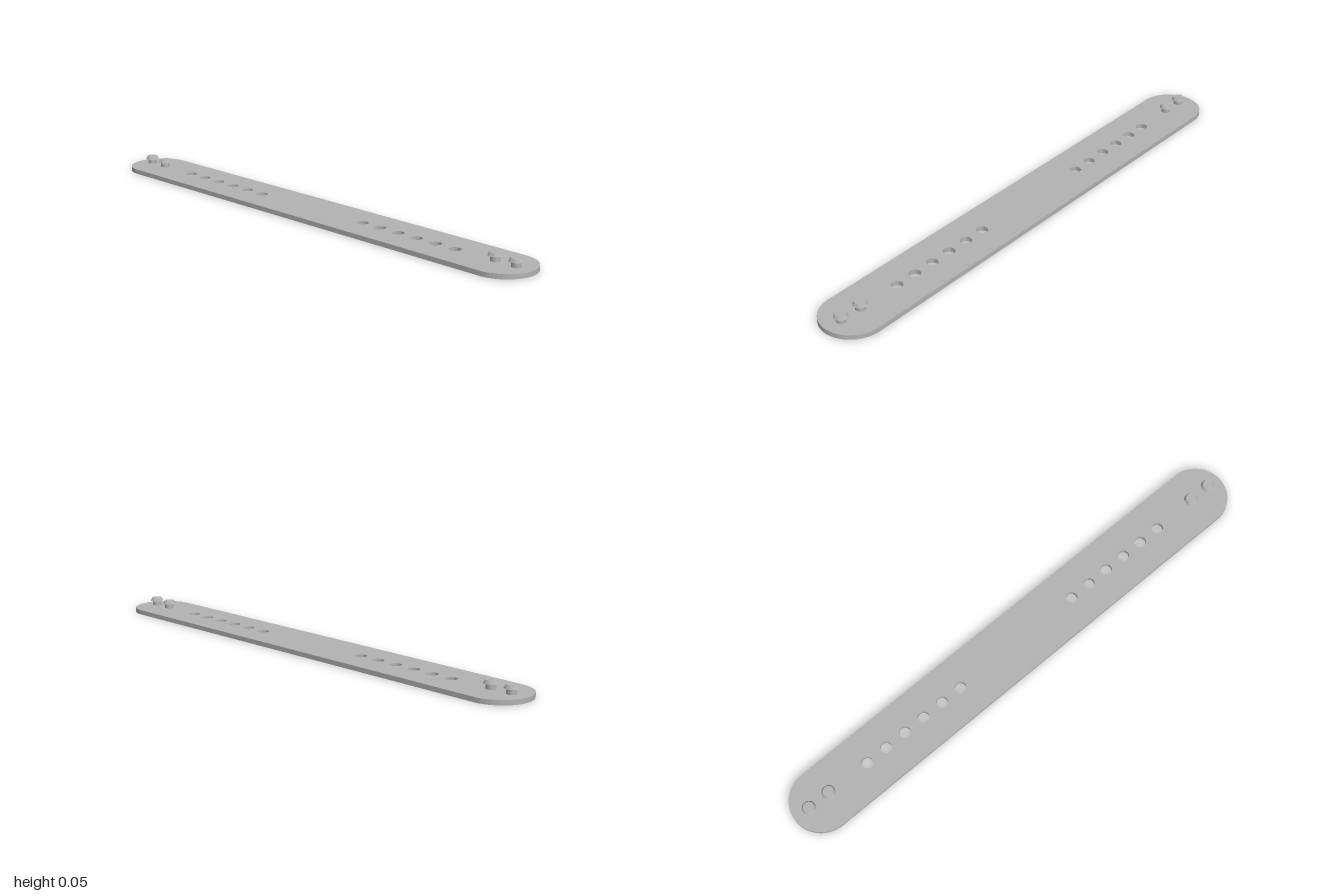
import * as THREE from 'three';
import { toCreasedNormals } from 'three/addons/utils/BufferGeometryUtils.js';

const HALF_LENGTH = 1, RADIUS = 0.115, THICKNESS = 0.017;
const PITCH = 0.0845, FIRST_HOLE = 0.263, HOLE_RADIUS = 0.021;

// Flat strap with rounded ends and two rows of six holes
function strapGeometry() {
  const c = HALF_LENGTH - RADIUS;
  const shape = new THREE.Shape();
  shape.moveTo(-c, -RADIUS);
  shape.lineTo(c, -RADIUS);
  shape.absarc(c, 0, RADIUS, -Math.PI / 2, Math.PI / 2, false);
  shape.lineTo(-c, RADIUS);
  shape.absarc(-c, 0, RADIUS, Math.PI / 2, Math.PI * 1.5, false);
  for (const side of [-1, 1]) {
    for (let i = 0; i < 6; i++) {
      const hole = new THREE.Path();
      hole.absarc(side * (FIRST_HOLE + i * PITCH), 0, HOLE_RADIUS, 0, Math.PI * 2, true);
      shape.holes.push(hole);
    }
  }
  const geometry = new THREE.ExtrudeGeometry(shape, {
    depth: THICKNESS, bevelEnabled: false, curveSegments: 32,
  });
  geometry.rotateX(-Math.PI / 2);
  return toCreasedNormals(geometry, 0.6);
}

// Snap stud: straight stem under a tapered head
function studGeometry() {
  const profile = [
    [0.017, THICKNESS - 0.003], [0.017, 0.035], [0.025, 0.035], [0.019, 0.047], [0, 0.047],
  ].map(([r, y]) => new THREE.Vector2(r, y));
  return toCreasedNormals(new THREE.LatheGeometry(profile, 32), 0.4);
}

export function createModel() {
  const group = new THREE.Group();
  group.name = 'adjustableStrap';
  const grey = new THREE.MeshStandardMaterial({ color: 0xb2b2b2 });
  grey.name = 'light grey';

  const strap = new THREE.Mesh(strapGeometry(), grey);
  strap.name = 'strap';
  group.add(strap);

  // Two studs near each end
  const geometry = studGeometry();
  for (const x of [-0.938, -0.853, 0.853, 0.938]) {
    const stud = new THREE.Mesh(geometry, grey);
    stud.name = x < 0 ? 'rightStud' : 'leftStud';
    stud.position.x = x;
    group.add(stud);
  }
  return group;
}
